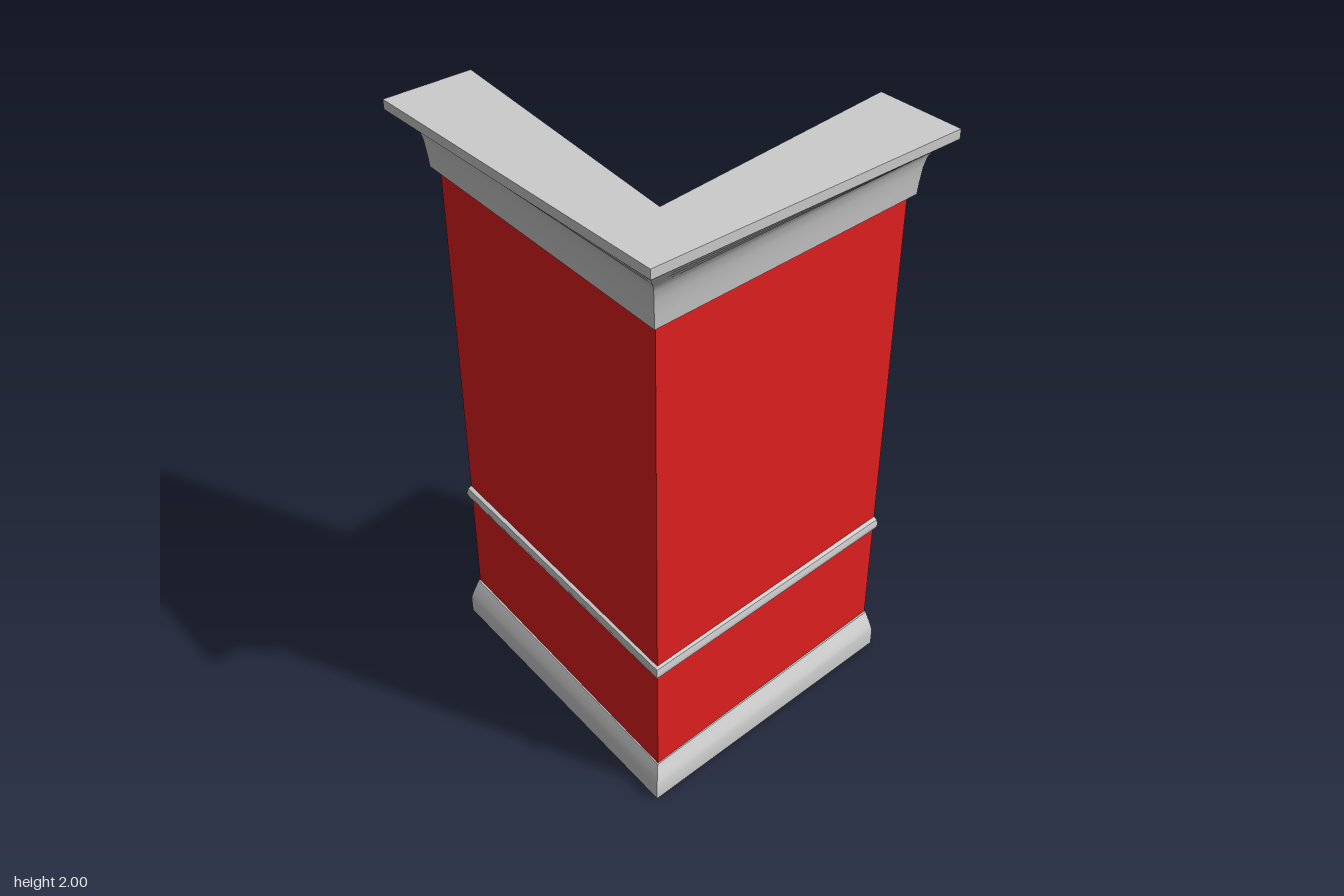
import * as THREE from 'three';
import { toCreasedNormals } from 'three/addons/utils/BufferGeometryUtils.js';

// Plan stations [x, z]: back end, corner, right end.
const INNER = [[-0.245, -0.57], [-0.335, 0.365], [0.535, 0.275]];
const WALL = [[-0.375, -0.57], [-0.43, 0.46], [0.535, 0.405]];
const RIM = [[-0.535, -0.57], [-0.535, 0.57], [0.535, 0.565]];

// Sweeps an outer profile of [t, y] round the L; t = 0 is the wall face, t = 1 the cornice rim.
function sweepL(profile, crease) {
  const yLow = profile[0][1];
  const yHigh = profile[profile.length - 1][1];
  const ring = [[-1, yLow], ...profile, [-1, yHigh]];
  const n = ring.length;
  const positions = [];
  const indices = [];

  for (let s = 0; s < 3; s++) {
    for (const [t, y] of ring) {
      const at = (i) => t === -1 ? INNER[s][i] : WALL[s][i] + t * (RIM[s][i] - WALL[s][i]);
      positions.push(at(0), y, at(1));
    }
  }
  for (let s = 0; s < 2; s++) {
    for (let k = 0; k < n; k++) {
      const a = s * n + k;
      const b = s * n + (k + 1) % n;
      indices.push(a, a + n, b + n, a, b + n, b);
    }
  }
  // End caps
  const outline = ring.map(([t, y]) => new THREE.Vector2(t, y));
  for (const [a, b, c] of THREE.ShapeUtils.triangulateShape(outline, [])) {
    indices.push(a, b, c, 2 * n + a, 2 * n + c, 2 * n + b);
  }

  const geometry = new THREE.BufferGeometry();
  geometry.setAttribute('position', new THREE.Float32BufferAttribute(positions, 3));
  geometry.setIndex(indices);
  return toCreasedNormals(geometry, crease);
}

export function createModel() {
  const model = new THREE.Group();
  const red = new THREE.MeshStandardMaterial({ color: 0xe01f1f });
  const grey = new THREE.MeshStandardMaterial({ color: 0xcccccc });

  function add(name, profile, material, crease = 0.6) {
    const mesh = new THREE.Mesh(sweepL(profile, crease), material);
    mesh.name = name;
    model.add(mesh);
  }

  // Skirting with a rounded top edge
  add('skirting', [[0.26, 0], [0.26, 0.06], [0.22, 0.075], [0.15, 0.093], [0.04, 0.12]], grey);

  // Wall panels; the crease angle blends only the inner corner
  add('lowerWall', [[0, 0.12], [0, 0.5]], red, 1.41);
  add('upperWall', [[0, 0.545], [0, 1.75]], red, 1.41);

  // Half-round rail
  add('rail', [[0, 0.5], [0.08, 0.505], [0.12, 0.522], [0.08, 0.54], [0, 0.545]], grey);

  // Coved cornice
  add('cornice', [
    [0.21, 1.75], [0.24, 1.79], [0.29, 1.84], [0.36, 1.875], [0.46, 1.9],
    [0.66, 1.925], [0.83, 1.947], [1, 1.97], [1, 2],
  ], grey);

  return model;
}
